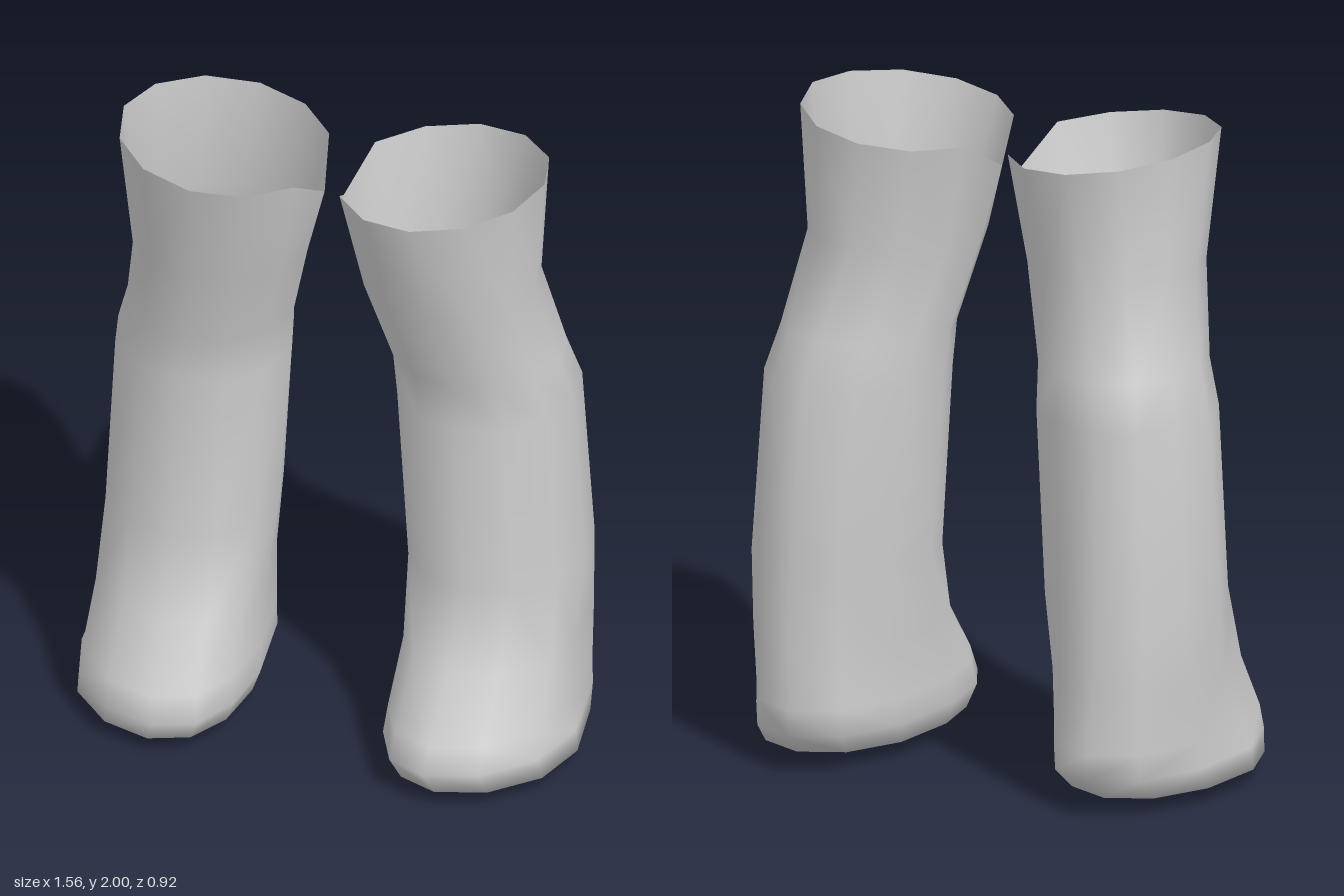
import * as THREE from 'three';

const SIDES = 12;

// Cross-sections from top to sole:
// y, inner x, outer x, front z, back z, z of widest point, x shift of front, x shift of back
const RINGS = [
  [1.965, 0.03, 0.66, 0.355, -0.30, 0.03, 0.00, 0.00],
  [1.60, 0.09, 0.625, 0.27, -0.265, 0.01, 0.02, 0.03],
  [1.32, 0.16, 0.675, 0.19, -0.335, -0.06, 0.01, 0.04],
  [1.18, 0.17, 0.715, 0.19, -0.385, -0.08, 0.00, 0.04],
  [0.62, 0.21, 0.75, 0.19, -0.42, -0.08, -0.02, 0.03],
  [0.38, 0.23, 0.76, 0.29, -0.435, -0.02, -0.05, 0.01],
  [0.20, 0.22, 0.77, 0.43, -0.45, 0.06, -0.06, 0.00],
  [0.12, 0.215, 0.775, 0.46, -0.455, 0.08, -0.07, 0.00],
  [0.05, 0.24, 0.78, 0.43, -0.37, 0.08, -0.06, 0.00],
];

// One open-topped boot, lofted through the rings and closed by a shallow sole
function bootGeometry(side) {
  const pos = [];
  const index = [];
  const tri = (a, b, c) => (side > 0 ? index.push(a, b, c) : index.push(a, c, b));

  RINGS.forEach(([y, x0, x1, zf, zb, zw, frontShift, backShift], r) => {
    for (let k = 0; k < SIDES; k++) {
      const a = (k / SIDES) * Math.PI * 2;
      const c = Math.cos(a);
      const s = Math.sin(a);
      let x = (x0 + x1) / 2 + ((x1 - x0) / 2) * c + s * s * (s > 0 ? frontShift : backShift);
      const z = zw + s * (s > 0 ? zf - zw : zw - zb);
      let py = y;
      // slanted rim, dipping at the inner side
      if (r === 0) py += 0.035 * c + 0.02 * Math.min(s, 0) - (c < -0.95 ? 0.1 : 0);
      // small ankle dent on the outer side
      if ((r === 5 || r === 6) && k === 0) x -= 0.025;
      pos.push(side * x, py, z);
    }
  });

  // walls
  for (let r = 0; r < RINGS.length - 1; r++) {
    for (let k = 0; k < SIDES; k++) {
      const n = (k + 1) % SIDES;
      const a = r * SIDES + k;
      const b = r * SIDES + n;
      tri(a, b, a + SIDES);
      tri(b, b + SIDES, a + SIDES);
    }
  }

  // sole
  const last = (RINGS.length - 1) * SIDES;
  const tip = pos.length / 3;
  pos.push(side * 0.5, 0, 0.12);
  for (let k = 0; k < SIDES; k++) tri(last + k, last + ((k + 1) % SIDES), tip);

  const g = new THREE.BufferGeometry();
  g.setAttribute('position', new THREE.Float32BufferAttribute(pos, 3));
  g.setIndex(index);
  g.computeVertexNormals();
  return g;
}

export function createModel() {
  const group = new THREE.Group();
  group.name = 'boots';
  const grey = new THREE.MeshStandardMaterial({ color: 0xcccccc, side: THREE.DoubleSide });
  grey.name = 'light grey';

  for (const [name, side] of [['leftBoot', 1], ['rightBoot', -1]]) {
    const boot = new THREE.Mesh(bootGeometry(side), grey);
    boot.name = name;
    group.add(boot);
  }
  return group;
}
